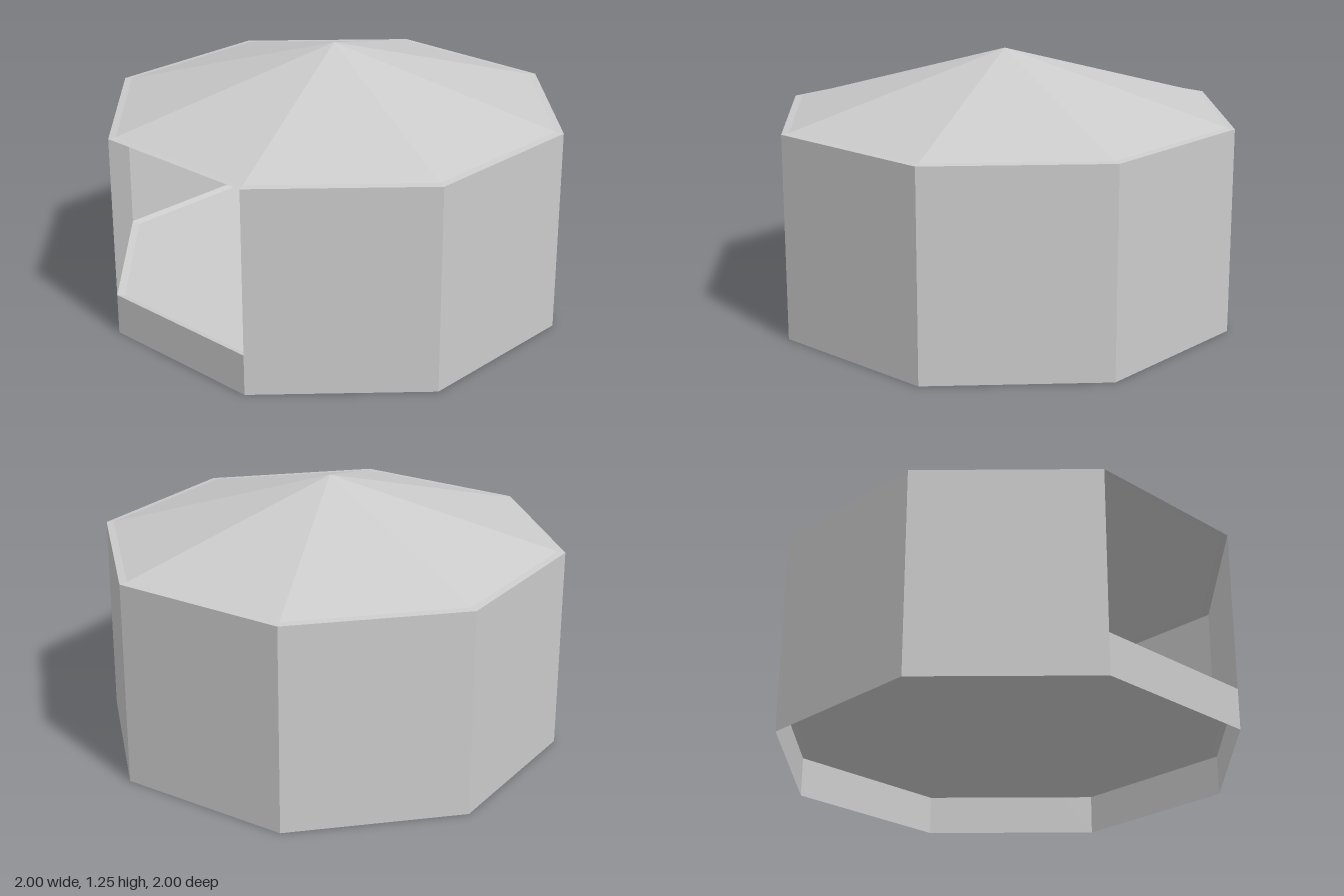
import * as THREE from 'three';

const SIDES = 8;
const STEP = (Math.PI * 2) / SIDES;
const CORNER = 1 / Math.cos(STEP / 2); // corner radius for a flat-to-flat half width of 1

export function createModel() {
  const group = new THREE.Group();
  const material = new THREE.MeshStandardMaterial({
    color: 0xcccccc, flatShading: true, side: THREE.DoubleSide,
  });

  // Open octagonal band between two heights, starting beside the front face
  function band(name, topHalf, bottomHalf, y0, y1, sides = SIDES, start = STEP / 2) {
    const geometry = new THREE.CylinderGeometry(
      topHalf * CORNER, bottomHalf * CORNER, y1 - y0, sides, 1, true, start, sides * STEP);
    geometry.translate(0, (y0 + y1) / 2, 0);
    const mesh = new THREE.Mesh(geometry, material);
    mesh.name = name;
    group.add(mesh);
  }

  // Seven full walls; the front stays open above a low sill
  band('walls', 1, 1, 0, 0.95, SIDES - 1);
  band('frontSill', 1, 1, 0, 0.19, 1, -STEP / 2);

  // Raised floor with a narrow sloping border, open underneath
  band('floorBorder', 1, 0.967, 0.18, 0.19);
  const floor = new THREE.Mesh(new THREE.CircleGeometry(0.967 * CORNER, SIDES, STEP / 2), material);
  floor.rotation.x = -Math.PI / 2;
  floor.position.y = 0.18;
  floor.name = 'floor';
  group.add(floor);

  // Shallow eaves strip and the pyramid roof
  band('eaves', 0.967, 1, 0.95, 0.954);
  band('roof', 0, 0.967, 0.954, 1.252);

  return group;
}
